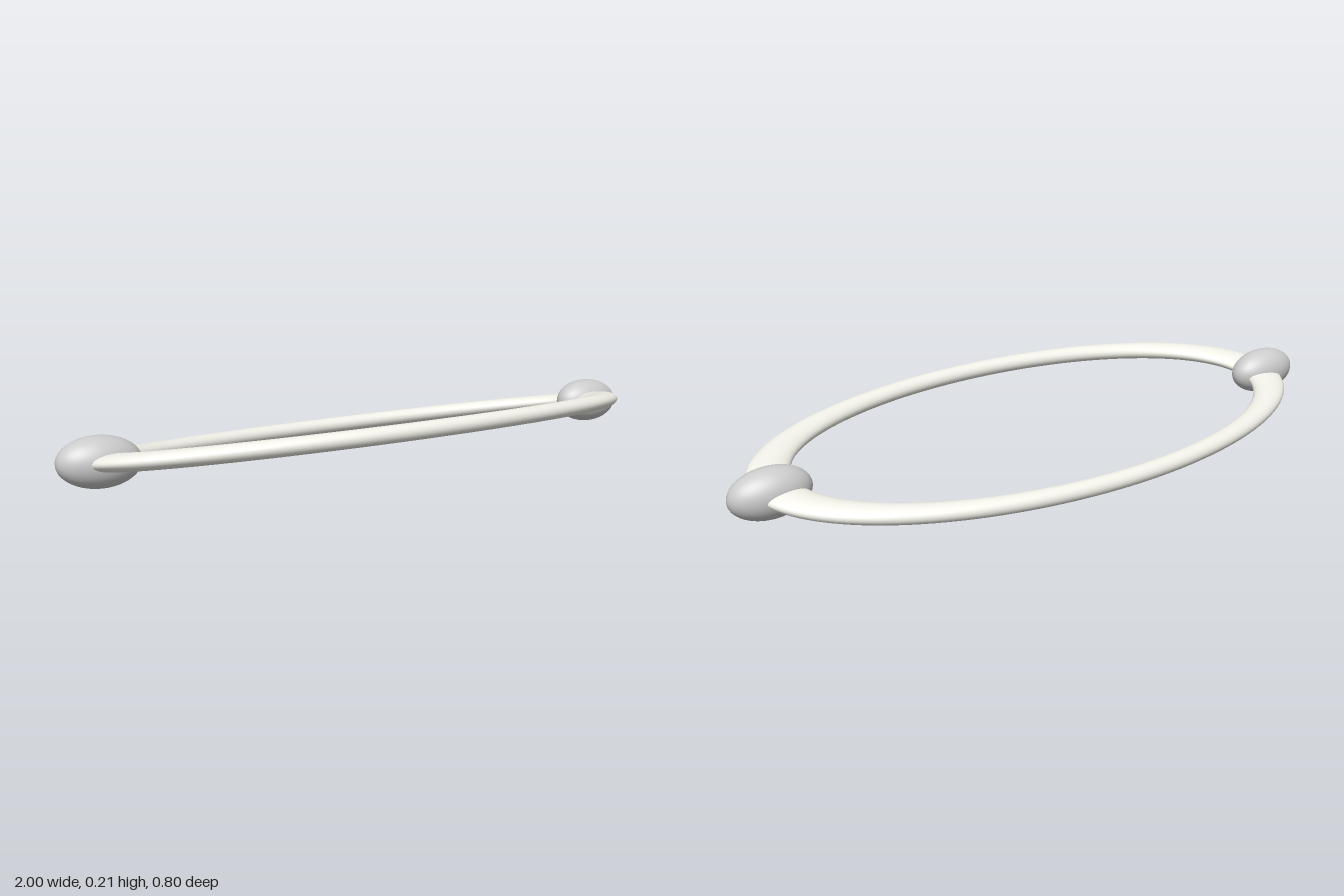
import * as THREE from 'three';

const ringMaterial = new THREE.MeshStandardMaterial({ color: 0xf1f0e8 });
const beadMaterial = new THREE.MeshStandardMaterial({ color: 0xcccccc });

// Stretches a geometry along three (not necessarily square) axes, then moves it.
function place(geometry, u, v, w, centre) {
  const m = new THREE.Matrix4().makeBasis(
    new THREE.Vector3(...u), new THREE.Vector3(...v), new THREE.Vector3(...w));
  return geometry.applyMatrix4(m.setPosition(...centre));
}

export function createModel() {
  const model = new THREE.Group();

  // Tilted oval ring: a unit torus whose tube widens towards the long ends
  const tube = 0.074;
  const u = [0.868, -0.029, 0.021];
  const v = [0, -0.077, -0.372];
  const n = new THREE.Vector3(...u).cross(new THREE.Vector3(...v)).normalize()
    .multiplyScalar(0.0245 / tube);
  const ring = new THREE.Mesh(
    place(new THREE.TorusGeometry(1, tube, 32, 160), u, v, n.toArray(), [0, 0.108, 0]),
    ringMaterial);
  ring.name = 'ring';
  model.add(ring);

  // Long rounded beads threaded on both ends
  const beads = [
    ['leftBead', [0.883, 0.0735, 0.013]],
    ['rightBead', [-0.883, 0.136, -0.05]],
  ];
  for (const [name, centre] of beads) {
    const bead = new THREE.Mesh(
      place(new THREE.SphereGeometry(1, 48, 32),
        [0.116, -0.006, 0.006], [0, 0.071, 0], [0, 0, 0.066], centre),
      beadMaterial);
    bead.name = name;
    model.add(bead);
  }
  return model;
}
